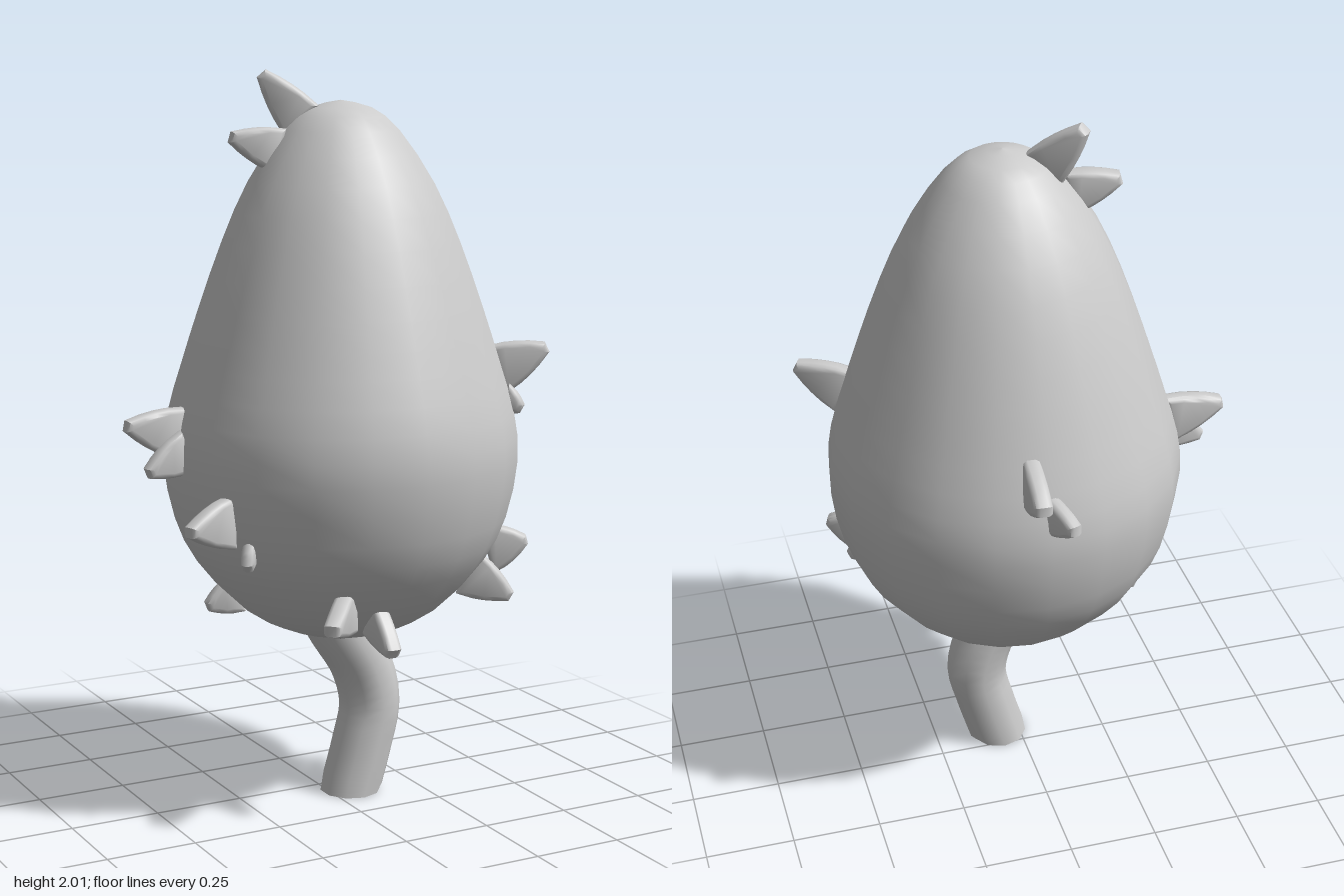
import * as THREE from 'three';
import { toCreasedNormals } from 'three/addons/utils/BufferGeometryUtils.js';

const V = (a) => new THREE.Vector3(...a);
const material = new THREE.MeshStandardMaterial({ color: 0xcccccc });

// Flat, round-cornered fan; its width lies in the vertical plane through base and tip
function thorn(base, tip, width, thickness) {
  const b = 0.014;
  const dir = V(tip).sub(V(base));
  const l = dir.length() - b;
  const w = width / 2 - b;
  const shape = new THREE.Shape();
  shape.moveTo(-w, 0);
  shape.lineTo(w, 0);
  shape.quadraticCurveTo(w * 0.75, l * 0.55, 0.006, l);
  shape.lineTo(-0.006, l);
  shape.quadraticCurveTo(-w * 0.75, l * 0.55, -w, 0);
  const depth = Math.max(thickness - 2 * b, 0.004);
  const geo = new THREE.ExtrudeGeometry(shape, {
    depth, bevelThickness: b, bevelSize: b, bevelSegments: 2, curveSegments: 4,
  });
  geo.translate(0, 0, -depth / 2);

  const y = dir.normalize();
  const x = new THREE.Vector3(0, 1, 0).addScaledVector(y, -y.y).normalize();
  const z = new THREE.Vector3().crossVectors(x, y);
  geo.applyMatrix4(new THREE.Matrix4().makeBasis(x, y, z).setPosition(V(base)));
  const mesh = new THREE.Mesh(toCreasedNormals(geo, 0.9), material);
  mesh.name = 'thorn';
  return mesh;
}

export function createModel() {
  const group = new THREE.Group();
  group.name = 'thornyBulb';

  // Egg-shaped body: smooth curve through a few profile points
  const profile = [
    [0, 0.46], [0.15, 0.478], [0.285, 0.55], [0.4, 0.675], [0.46, 0.8],
    [0.49, 0.96], [0.478, 1.09], [0.437, 1.23], [0.39, 1.375], [0.327, 1.55],
    [0.255, 1.71], [0.16, 1.85], [0.085, 1.91], [0, 1.93],
  ].map(([r, y]) => new THREE.Vector2(r, y));
  const points = new THREE.SplineCurve(profile).getPoints(26);
  points.forEach((p) => { p.x = Math.max(p.x, 0); });
  const body = new THREE.Mesh(new THREE.LatheGeometry(points, 20), material);
  body.position.set(0.045, 0, 0.04);
  body.name = 'body';
  group.add(body);

  // Bent stem with a closed foot
  const path = new THREE.CatmullRomCurve3([
    [0.062, 0, 0.07], [0.1, 0.13, 0.07], [0.125, 0.25, 0.07],
    [0.095, 0.37, 0.07], [0.025, 0.48, 0.07], [-0.01, 0.54, 0.07],
  ].map(V));
  const stemGeo = new THREE.TubeGeometry(path, 16, 0.087, 10, false);
  // Flatten the lowest ring onto the ground
  const pos = stemGeo.attributes.position;
  for (let i = 0; i <= 10; i++) pos.setY(i, 0);
  const stem = new THREE.Mesh(stemGeo, material);
  stem.name = 'stem';
  const foot = new THREE.Mesh(new THREE.CircleGeometry(0.084, 10), material);
  foot.rotation.x = Math.PI / 2;
  foot.position.set(0.062, 0.001, 0.07);
  foot.name = 'stemFoot';
  group.add(stem, foot);

  // Thorns in pairs: base, tip, width, thickness
  const thorns = new THREE.Group();
  thorns.name = 'thorns';
  [
    // crown
    [[-0.065, 1.885, 0.005], [-0.148, 2.0, -0.048], 0.12, 0.05],
    [[-0.14, 1.8, 0.015], [-0.26, 1.835, -0.01], 0.12, 0.052],
    // back
    [[0.09, 1.19, -0.405], [0.095, 1.195, -0.535], 0.14, 0.05],
    [[0.04, 1.1, -0.42], [0.005, 1.11, -0.52], 0.11, 0.042],
    // right side
    [[-0.44, 1.06, 0.02], [-0.585, 1.09, 0.02], 0.14, 0.05],
    [[-0.43, 1.01, 0.045], [-0.54, 0.965, 0.058], 0.12, 0.045],
    [[-0.385, 0.85, 0.225], [-0.515, 0.845, 0.265], 0.14, 0.05],
    [[-0.34, 0.765, 0.26], [-0.36, 0.735, 0.285], 0.07, 0.036],
    // underside
    [[-0.25, 0.585, -0.025], [-0.328, 0.555, -0.04], 0.11, 0.045],
    [[-0.09, 0.605, 0.34], [-0.2, 0.588, 0.452], 0.13, 0.05],
    [[0, 0.56, 0.325], [0, 0.495, 0.428], 0.11, 0.048],
    // left side
    [[0.35, 0.63, 0.245], [0.445, 0.57, 0.3], 0.13, 0.045],
    [[0.42, 0.695, 0.23], [0.51, 0.72, 0.275], 0.14, 0.045],
    [[0.46, 1.195, 0.2], [0.575, 1.255, 0.26], 0.14, 0.048],
    [[0.42, 1.125, 0.295], [0.455, 1.1, 0.325], 0.08, 0.036],
  ].forEach((t) => thorns.add(thorn(...t)));
  group.add(thorns);

  return group;
}
